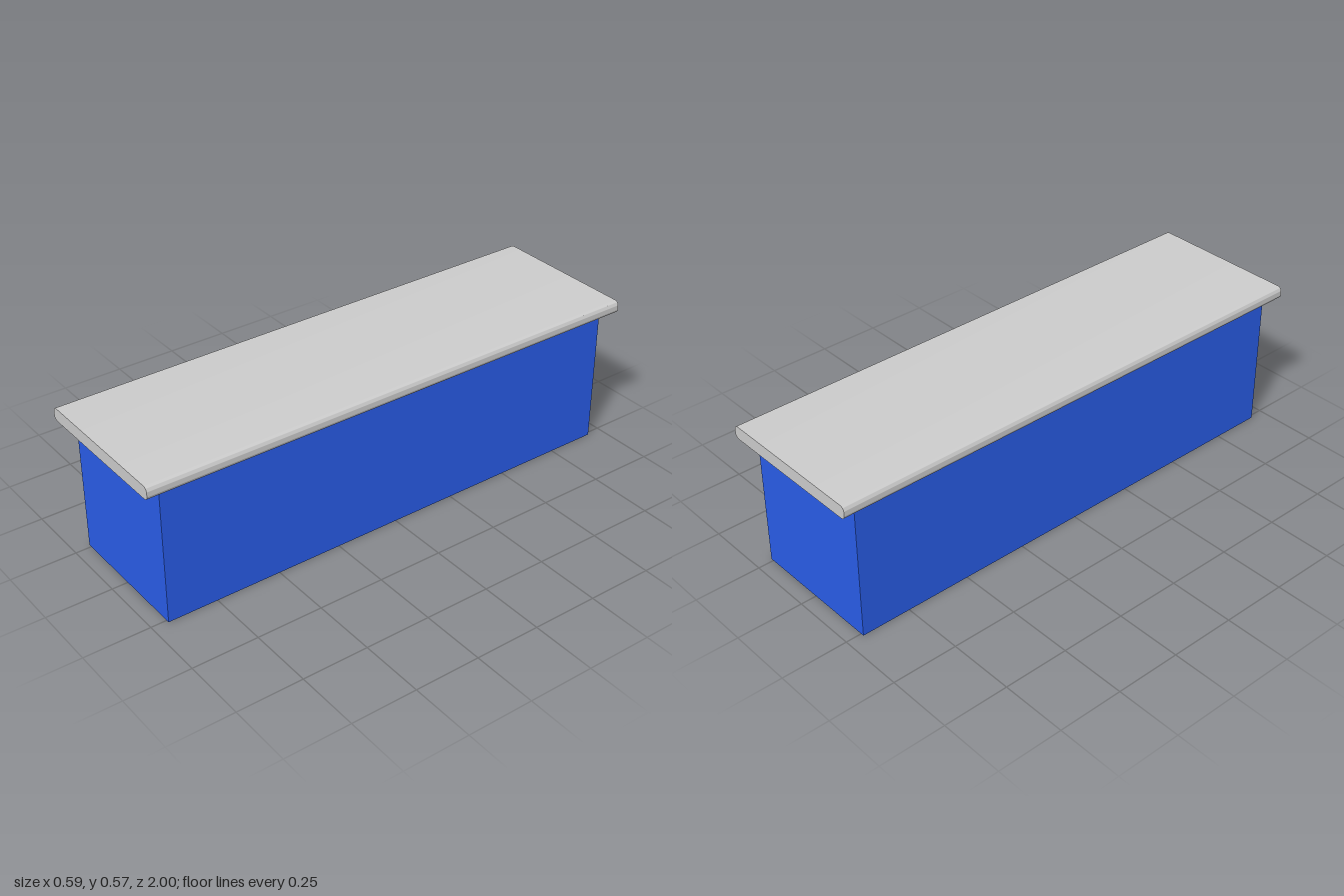
import * as THREE from 'three';
import { toCreasedNormals } from 'three/addons/utils/BufferGeometryUtils.js';

const WIDTH = 0.524, HEIGHT = 0.523, LENGTH = 1.88;           // base block
const TOP_WIDTH = 0.592, TOP_THICKNESS = 0.049, TOP_LENGTH = 2; // overhanging slab
const RADIUS = 0.018;

// Rectangle with rounded corners, centred on the origin
function roundedRect(w, h, r) {
  const x = w / 2, y = h / 2;
  const shape = new THREE.Shape();
  shape.absarc(x - r, y - r, r, 0, Math.PI / 2);
  shape.absarc(-x + r, y - r, r, Math.PI / 2, Math.PI);
  shape.absarc(-x + r, -y + r, r, Math.PI, Math.PI * 1.5);
  shape.absarc(x - r, -y + r, r, Math.PI * 1.5, Math.PI * 2);
  shape.closePath();
  return shape;
}

export function createModel() {
  const group = new THREE.Group();
  group.name = 'counter';

  // Solid blue block standing on the floor
  const base = new THREE.Mesh(
    new THREE.BoxGeometry(WIDTH, HEIGHT, LENGTH),
    new THREE.MeshStandardMaterial({ color: 0x295ce7 })
  );
  base.name = 'base';
  base.position.y = HEIGHT / 2;
  group.add(base);

  // Slab with rounded long edges and flat ends
  const slab = new THREE.ExtrudeGeometry(roundedRect(TOP_WIDTH, TOP_THICKNESS, RADIUS), {
    depth: TOP_LENGTH, bevelEnabled: false, curveSegments: 8,
  });
  slab.translate(0, 0, -TOP_LENGTH / 2);
  const top = new THREE.Mesh(
    toCreasedNormals(slab, 0.6),
    new THREE.MeshStandardMaterial({ color: 0xcccccc })
  );
  top.name = 'top';
  top.position.y = HEIGHT + TOP_THICKNESS / 2;
  group.add(top);

  return group;
}
